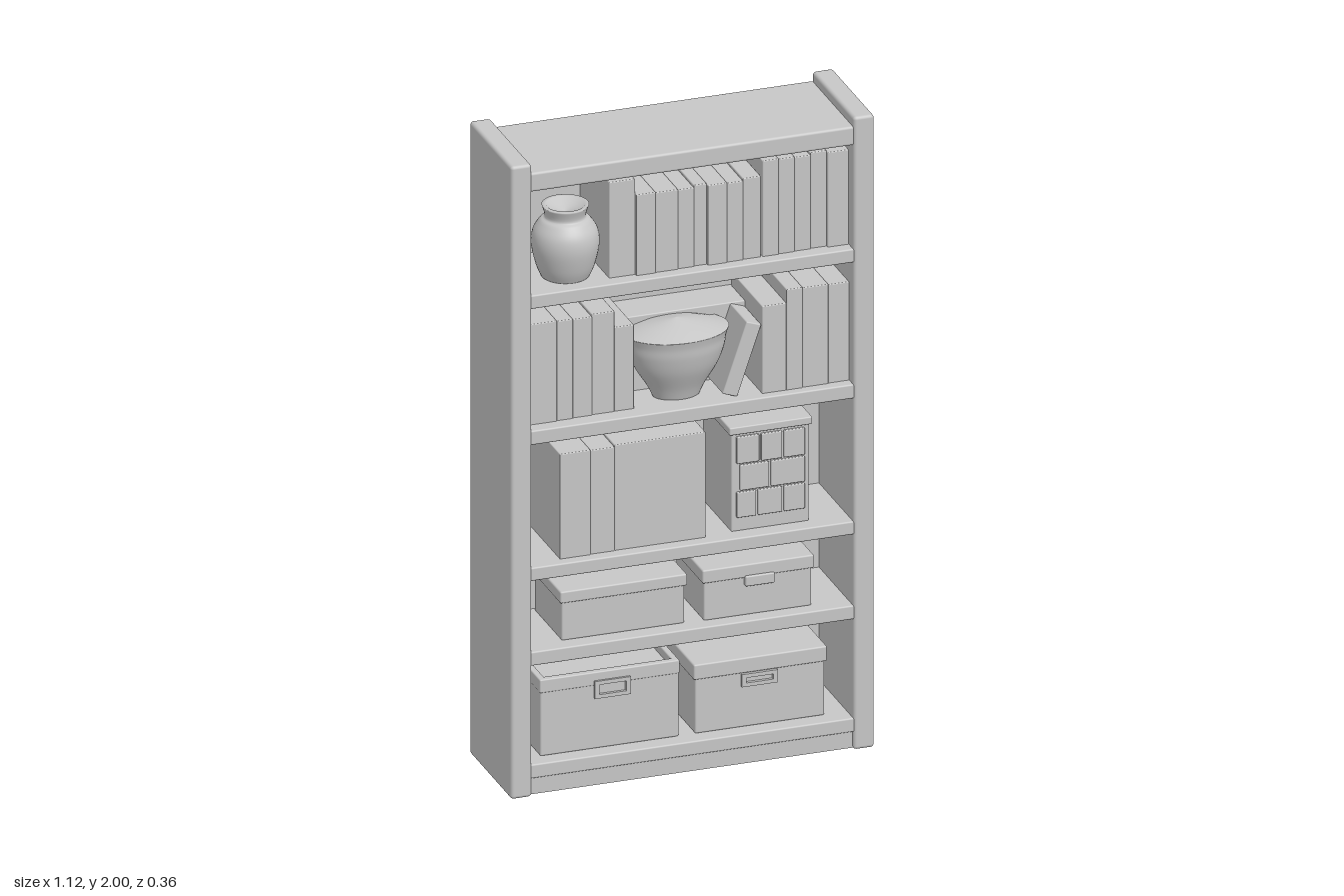
import * as THREE from 'three';
import { RoundedBoxGeometry } from 'three/addons/geometries/RoundedBoxGeometry.js';

const grey = new THREE.MeshStandardMaterial({ color: 0xc6c6c6 });
grey.name = 'plain grey';

export function createModel() {
  const root = new THREE.Group();
  root.name = 'bookcase';

  const add = (name, geometry, parent = root) => {
    const mesh = new THREE.Mesh(geometry, grey);
    mesh.name = name;
    parent.add(mesh);
    return mesh;
  };
  // Box given by its two extremes on every axis, with optional rounding
  const block = (name, x0, x1, y0, y1, z0, z1, r = 0, parent = root) => {
    const s = [x1 - x0, y1 - y0, z1 - z0];
    const geo = r ? new RoundedBoxGeometry(...s, 2, r) : new THREE.BoxGeometry(...s);
    const mesh = add(name, geo, parent);
    mesh.position.set((x0 + x1) / 2, (y0 + y1) / 2, (z0 + z1) / 2);
    return mesh;
  };
  const group = (name) => {
    const g = new THREE.Group();
    g.name = name;
    root.add(g);
    return g;
  };

  // Carcass
  for (const s of [-1, 1]) {
    const x = s * 0.5265;
    block('sidePost', x - 0.032, x + 0.032, 0, 2, -0.179, 0.177, 0.01);
  }
  block('backPanel', -0.5, 0.5, 0.005, 1.96, -0.18, -0.12);
  block('topPanel', -0.5, 0.5, 1.91, 1.97, -0.18, 0.173, 0.008);
  for (const [y0, y1] of [[1.54, 1.583], [1.11, 1.155], [0.68, 0.722], [0.412, 0.456], [0.056, 0.1]])
    block('shelf', -0.5, 0.5, y0, y1, -0.14, 0.173, 0.005);
  block('plinth', -0.5, 0.5, 0.005, 0.06, -0.18, 0.168);

  // Rows of tightly packed books: splits are the spine edges, tops vary slightly
  const books = (name, y, top, z, splits) => {
    const g = group(name);
    for (let i = 0; i < splits.length - 1; i++) {
      const dy = ((i * 7) % 3) * 0.003, dz = ((i * 5) % 4) * 0.003;
      block('book', splits[i], splits[i + 1], y, top - dy, -0.13, z - dz, 0.003, g);
    }
  };
  books('tallTopBook', 1.58, 1.885, 0.13, [-0.24, -0.16]);
  books('topMiddleBooks', 1.58, 1.838, 0.14, [-0.16, -0.1, -0.03, 0.02, 0.06, 0.12, 0.17, 0.225]);
  books('topRightBooks', 1.58, 1.885, 0.135, [0.23, 0.28, 0.33, 0.38, 0.43, 0.495]);
  books('secondLeftBooks', 1.15, 1.472, 0.13, [-0.495, -0.4, -0.35, -0.29, -0.22]);
  books('secondStepBook', 1.15, 1.42, 0.12, [-0.22, -0.16]);
  books('secondShortBooks', 1.15, 1.43, 0.145, [0.225, 0.3]);
  books('secondRightBooks', 1.15, 1.472, 0.145, [0.3, 0.35, 0.43, 0.495]);
  books('thirdLeftBooks', 0.72, 1.053, 0.14, [-0.395, -0.3, -0.225]);
  books('thirdWideBook', 0.72, 1.055, 0.135, [-0.225, 0.055]);

  // Turned vessels, closed at the top by a last point on the axis
  const lathe = (name, pts, topY, x, z, depth = 1) => {
    const curve = new THREE.SplineCurve(pts.map(([r, y]) => new THREE.Vector2(r, y)));
    const [rimR, rimY] = pts.at(-1);
    const profile = [new THREE.Vector2(0, pts[0][1]), ...curve.getPoints(28),
      new THREE.Vector2(rimR - 0.012, rimY), new THREE.Vector2(rimR * 0.6, (rimY + topY) / 2),
      new THREE.Vector2(0, topY)];
    const mesh = add(name, new THREE.LatheGeometry(profile, 40));
    mesh.position.set(x, 0, z);
    mesh.scale.z = depth;
  };
  lathe('vase', [[0.07, 1.582], [0.086, 1.62], [0.099, 1.68], [0.095, 1.725], [0.075, 1.758],
    [0.06, 1.772], [0.069, 1.806]], 1.78, -0.35, 0.06);
  lathe('bowl', [[0.07, 1.153], [0.088, 1.19], [0.125, 1.25], [0.144, 1.3], [0.15, 1.335], [0.158, 1.36]],
    1.395, -0.008, 0.055, 0.72);

  // Book leaning against the right-hand stack, with a stack behind the bowl
  block('stackBehindBowl', -0.16, 0.225, 1.15, 1.39, -0.13, 0, 0.004);
  const lean = block('leaningBook', -0.024, 0.024, -0.115, 0.115, -0.12, 0.12, 0.004);
  lean.position.set(0.165, 1.27, 0.02);
  lean.rotation.z = -0.33;

  // Small chest with staggered drawer fronts
  const chest = group('drawerChest');
  block('chestBody', 0.138, 0.377, 0.72, 1.03, -0.12, 0.122, 0.004, chest);
  block('chestTop', 0.13, 0.385, 1.028, 1.052, -0.12, 0.13, 0.004, chest);
  const rows = [
    [0.935, 1.02, [0.15, 0.225, 0.295, 0.365]],
    [0.85, 0.93, [0.16, 0.255, 0.365]],
    [0.765, 0.845, [0.15, 0.215, 0.295, 0.365]],
  ];
  for (const [y0, y1, xs] of rows)
    for (let i = 0; i < xs.length - 1; i++)
      block('drawerFront', xs[i] + 0.003, xs[i + 1] - 0.003, y0, y1, 0.11, 0.13, 0.003, chest);

  // Raised grip plate with a slot
  const grip = (x, y, z, w, h, parent) => {
    const rect = (P, a, b) => {
      const p = new P();
      p.moveTo(-a, -b); p.lineTo(a, -b); p.lineTo(a, b); p.lineTo(-a, b); p.closePath();
      return p;
    };
    const shape = rect(THREE.Shape, w / 2, h / 2);
    shape.holes.push(rect(THREE.Path, w / 2 - 0.014, h / 2 - 0.012));
    const mesh = add('grip', new THREE.ExtrudeGeometry(shape, { depth: 0.012, bevelEnabled: false }), parent);
    mesh.position.set(x, y, z);
  };

  // Lidded storage boxes
  const lidded = (name, x0, x1, y0, yl, y1, z) => {
    const g = group(name);
    block('boxBody', x0 + 0.006, x1 - 0.006, y0, yl + 0.005, -0.11, z - 0.006, 0.005, g);
    block('boxLid', x0, x1, yl, y1, -0.115, z, 0.005, g);
    return g;
  };
  lidded('fourthLeftBox', -0.39, 0, 0.455, 0.575, 0.612, 0.13);
  const small = lidded('fourthRightBox', 0.045, 0.388, 0.455, 0.575, 0.617, 0.135);
  block('latch', 0.175, 0.265, 0.55, 0.582, 0.12, 0.143, 0.004, small);
  const low = lidded('bottomRightBox', 0.02, 0.43, 0.1, 0.272, 0.32, 0.13);
  grip(0.222, 0.25, 0.122, 0.11, 0.04, low);

  // Shallow-topped bin with a rim
  const bin = group('bottomLeftBin');
  block('binBody', -0.45, -0.024, 0.1, 0.315, -0.11, 0.125, 0.005, bin);
  block('binRimFront', -0.452, -0.022, 0.3, 0.342, 0.105, 0.127, 0.004, bin);
  block('binRimBack', -0.452, -0.022, 0.3, 0.342, -0.115, -0.095, 0.004, bin);
  for (const x of [-0.452, -0.042])
    block('binRimSide', x, x + 0.02, 0.3, 0.342, -0.115, 0.127, 0.004, bin);
  grip(-0.23, 0.288, 0.122, 0.11, 0.055, bin);

  return root;
}
